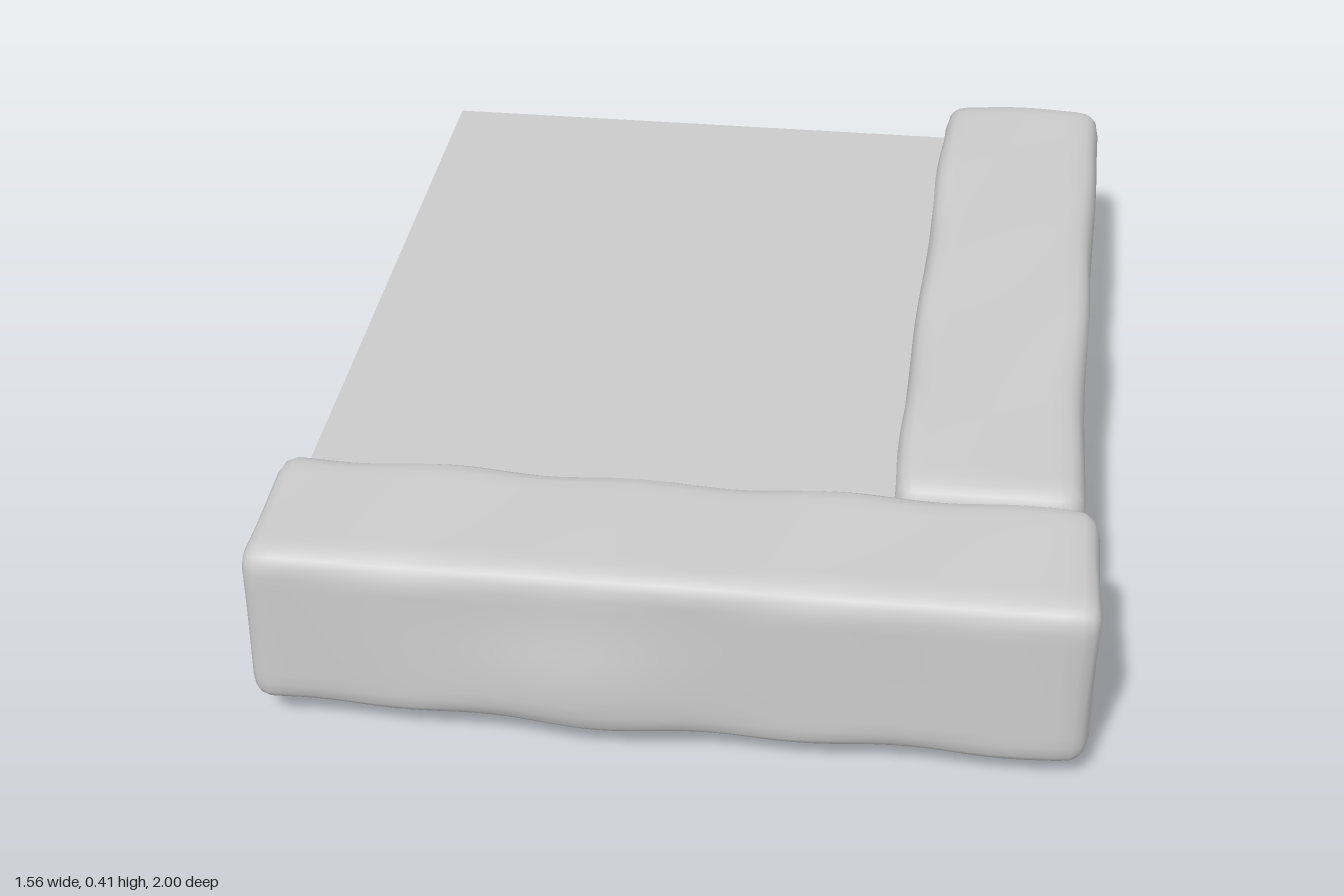
import * as THREE from 'three';
import { mergeVertices } from 'three/addons/utils/BufferGeometryUtils.js';

const material = new THREE.MeshStandardMaterial({ color: 0xcccccc });

// smooth repeatable bumps, roughly -1..1
const bump = (a, b, c) =>
  0.6 * Math.sin(7.3 * a + 3.1 * b + 1.3) * Math.cos(5.9 * c + 4.2 * b) +
  0.4 * Math.sin(17 * a + 11 * c + 9 * b + 0.7);

// bell-shaped falloff around a centre
const bell = (v, centre, width) => Math.exp(-(((v - centre) / width) ** 2));

// rounded block between two corners, roughened, then shaped by warp(p)
function roughBlock(name, min, max, radius, rough, segments, warp) {
  const lo = new THREE.Vector3(...min), hi = new THREE.Vector3(...max);
  const size = hi.clone().sub(lo), centre = hi.clone().add(lo).multiplyScalar(0.5);
  let geo = new THREE.BoxGeometry(size.x, size.y, size.z, ...segments);
  geo.deleteAttribute('normal');
  geo.deleteAttribute('uv');
  geo = mergeVertices(geo);
  const pos = geo.attributes.position;
  const p = new THREE.Vector3(), core = new THREE.Vector3(), dir = new THREE.Vector3();
  const half = size.clone().multiplyScalar(0.5).subScalar(radius);
  for (let i = 0; i < pos.count; i++) {
    p.fromBufferAttribute(pos, i);
    core.copy(p).clamp(half.clone().negate(), half);
    dir.copy(p).sub(core).normalize();
    // worn edges: the radius shrinks and grows along the block
    const wear = dir.x ** 4 + dir.y ** 4 + dir.z ** 4 < 0.9 ? 1.6 : 0.6;
    const n = bump(p.x + centre.x, p.y, p.z + centre.z);
    p.copy(core).addScaledVector(dir, radius + rough * wear * n).add(centre);
    warp(p);
    pos.setXYZ(i, p.x, p.y, p.z);
  }
  geo.computeVertexNormals();
  const mesh = new THREE.Mesh(geo, material);
  mesh.name = name;
  return mesh;
}

export function createModel() {
  const group = new THREE.Group();
  group.name = 'platform';

  // flat floor slab
  const slab = new THREE.Mesh(new THREE.BoxGeometry(1.3, 0.22, 1.72), material);
  slab.name = 'floorSlab';
  slab.position.set(-0.11, 0.2, -0.115);
  group.add(slab);

  // front stone: bulges forward near the bottom, sags towards its left end
  group.add(roughBlock('frontStone', [-0.78, 0.06, 0.625], [0.78, 0.408, 0.975], 0.045, 0.006, [52, 14, 14], (p) => {
    if (p.z > 0.8) p.z += 0.024 * bell(p.x, -0.17, 0.2) * bell(p.y, 0.15, 0.12);
    if (p.y < 0.2) p.y -= 0.012 * (p.x + 0.78) / 1.56;
  }));

  // side stone: slightly waisted in the middle
  group.add(roughBlock('sideStone', [0.405, 0.06, -0.995], [0.762, 0.405, 0.622], 0.045, 0.006, [14, 14, 52], (p) => {
    p.x -= 0.016 * bell(p.z, 0, 0.45) + 0.008 * bell(p.z, 0.6, 0.4);
  }));

  // rough timber runners beneath the slab
  [[-0.31, 0.028], [0.13, 0.012], [0.58, 0.022]].forEach(([x, bottom], i) => {
    group.add(roughBlock('runner' + (i + 1), [x - 0.042, bottom + 0.01, -0.98], [x + 0.042, 0.11, 0.78], 0.016, 0.004, [5, 5, 40], (p) => {
      p.x += 0.012 * Math.sin(4 * p.z + i * 1.9);
      if (p.y < 0.07) p.y -= 0.014 * bell(p.z, -0.1, 0.4);
    }));
  });
  return group;
}
